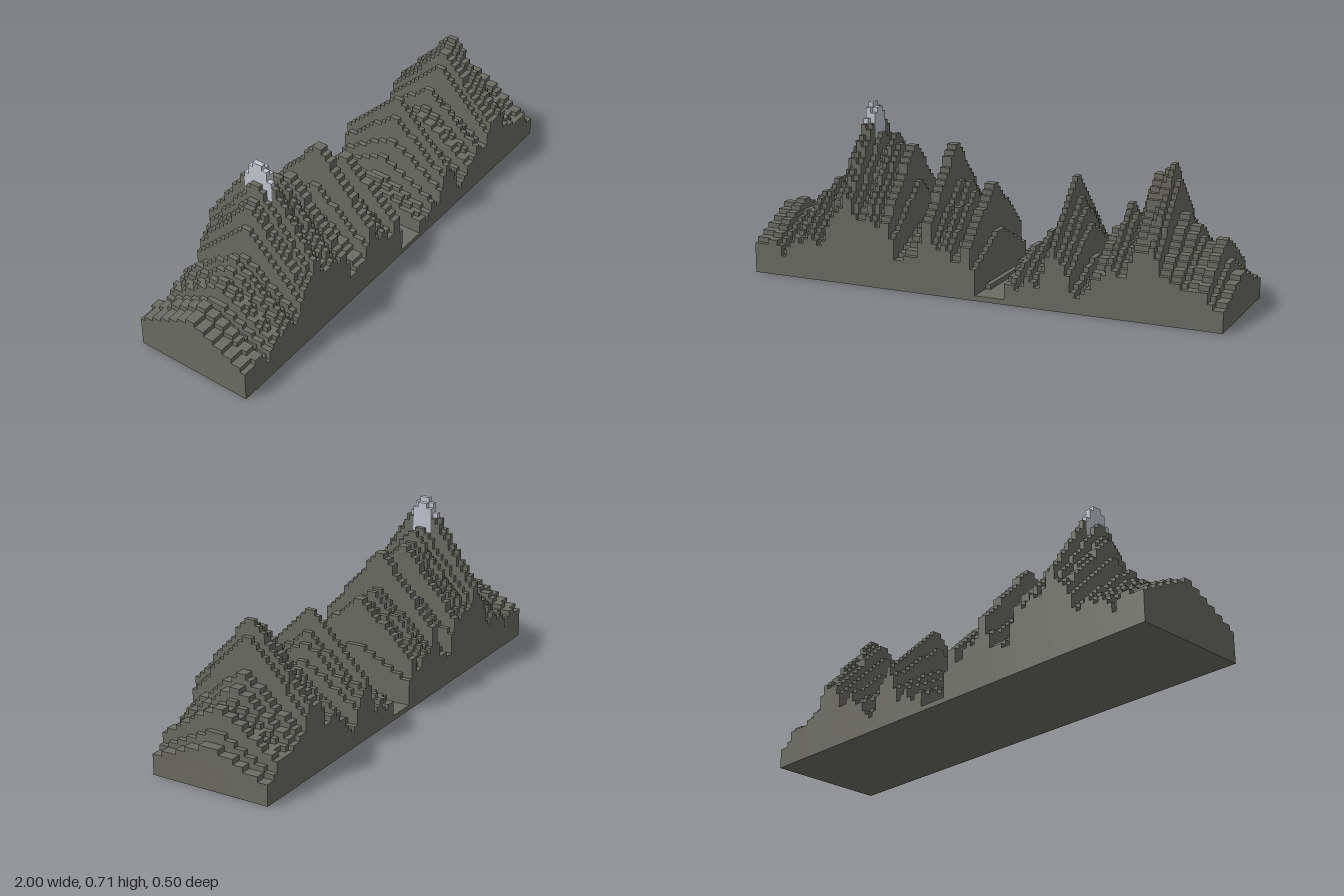
import * as THREE from 'three';

const CELL = 1 / 48;   // edge of one block
const NX = 96, NZ = 24;
const SNOW_LINE = 30;  // columns taller than this are snow

// Ridge height of each slice from -x to +x, in blocks
const RIDGE = [
  12, 12, 12, 13, 13, 11, 9, 11, 14, 15, 14, 16, 18, 16, 14, 16,
  22, 26, 27, 30, 34, 33, 28, 25, 26, 28, 26, 24, 26, 26, 19, 11,
  11, 14, 14, 14, 19, 27, 27, 20, 18, 20, 18, 14, 14, 20, 20, 11,
  2, 1, 1, 1, 1, 1, 8, 9, 6, 8, 12, 10, 8, 14, 19, 23,
  19, 17, 14, 8, 6, 8, 10, 14, 14, 15, 19, 17, 15, 15, 22, 25,
  25, 26, 27, 24, 18, 18, 16, 16, 14, 13, 13, 14, 14, 10, 8, 8,
];

// Column height: the ridge falls to about half at the front and back edges
function columnHeight(i, k) {
  if (i < 0 || i >= NX || k < 0 || k >= NZ) return 0;
  const away = k < NZ / 2 ? NZ / 2 - 1 - k : k - NZ / 2;
  const full = (RIDGE[i] + 0.53) * 24 / 23;
  if (RIDGE[i] === 2) return away < 7 ? 2 : 1;   // river bank step
  return Math.max(1, Math.floor(full * (1 - (away + 1) / 24)));
}

// Collects flat quads, corners counter-clockwise seen from outside
function quadBuilder() {
  const positions = [], normals = [], indices = [];
  return {
    add(corners, normal) {
      const n = positions.length / 3;
      for (const [x, y, z] of corners) {
        positions.push(x * CELL - 1, y * CELL, z * CELL - 0.25);
        normals.push(...normal);
      }
      indices.push(n, n + 1, n + 2, n, n + 2, n + 3);
    },
    build() {
      const g = new THREE.BufferGeometry();
      g.setAttribute('position', new THREE.Float32BufferAttribute(positions, 3));
      g.setAttribute('normal', new THREE.Float32BufferAttribute(normals, 3));
      g.setIndex(indices);
      return g;
    },
  };
}

// Top of one column and its walls down to each lower neighbour
function addColumn(quads, i, k) {
  const h = columnHeight(i, k), a = i + 1, b = k + 1;
  quads.add([[i, h, b], [a, h, b], [a, h, k], [i, h, k]], [0, 1, 0]);
  const sides = [
    [0, 1, i, b, a, b],    // front
    [0, -1, a, k, i, k],   // back
    [1, 0, a, b, a, k],    // left
    [-1, 0, i, k, i, b],   // right
  ];
  for (const [dx, dz, x0, z0, x1, z1] of sides) {
    const low = columnHeight(i + dx, k + dz);
    if (low < h) quads.add([[x0, low, z0], [x1, low, z1], [x1, h, z1], [x0, h, z0]], [dx, 0, dz]);
  }
}

export function createModel() {
  const rock = new THREE.MeshStandardMaterial({ color: 0x6b6c63 });
  rock.name = 'rock';
  const snow = new THREE.MeshStandardMaterial({ color: 0xc2c6d0 });
  snow.name = 'snow';

  const rockQuads = quadBuilder(), snowQuads = quadBuilder();
  for (let i = 0; i < NX; i++) {
    for (let k = 0; k < NZ; k++) {
      addColumn(columnHeight(i, k) > SNOW_LINE ? snowQuads : rockQuads, i, k);
    }
  }
  // Underside
  rockQuads.add([[0, 0, 0], [NX, 0, 0], [NX, 0, NZ], [0, 0, NZ]], [0, -1, 0]);

  const model = new THREE.Group();
  model.name = 'mountainRange';
  const mountains = new THREE.Mesh(rockQuads.build(), rock);
  mountains.name = 'mountains';
  const snowCap = new THREE.Mesh(snowQuads.build(), snow);
  snowCap.name = 'snowCap';
  model.add(mountains, snowCap);
  return model;
}
